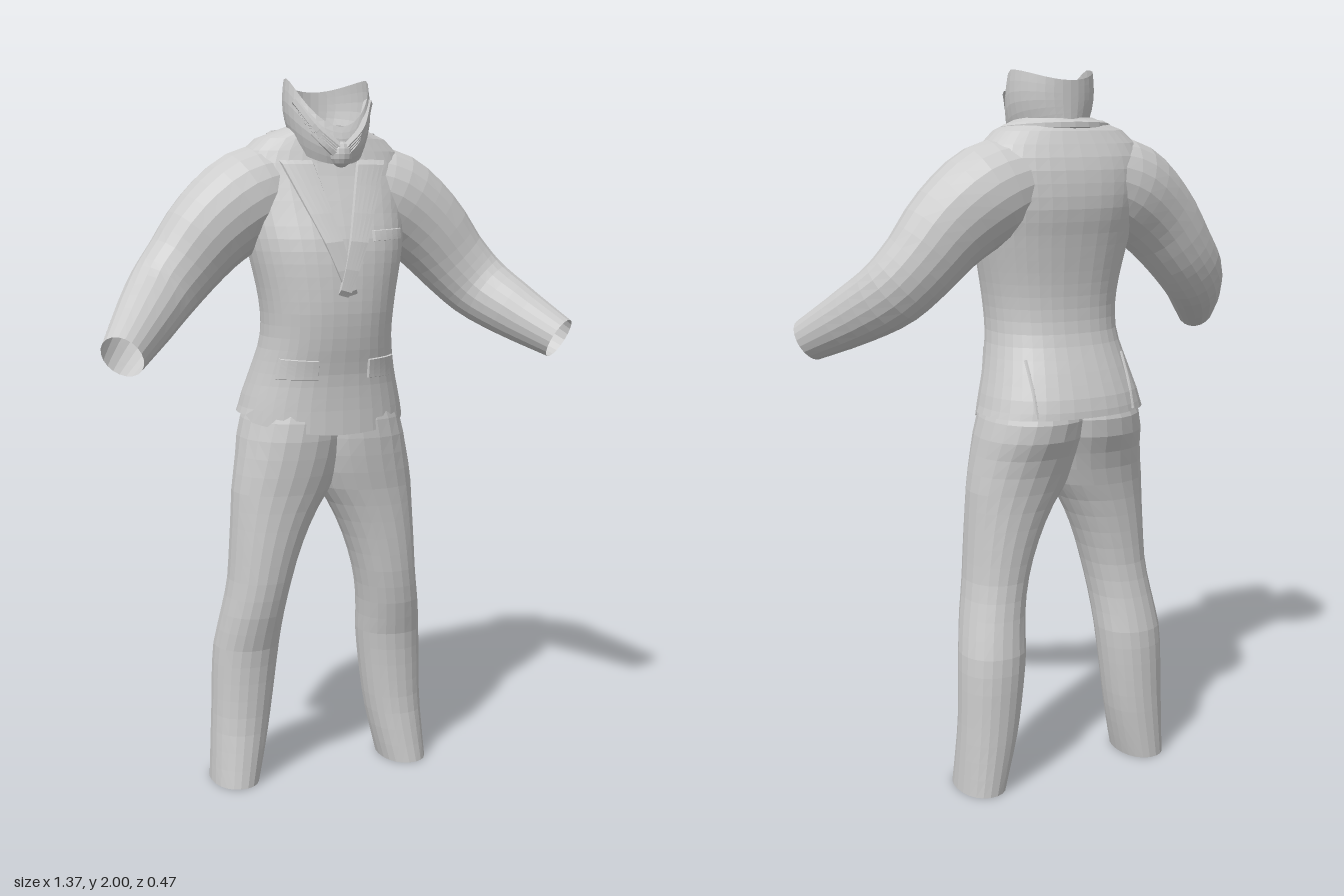
import * as THREE from 'three';

const material = new THREE.MeshStandardMaterial({ color: 0xcccccc, flatShading: true, side: THREE.DoubleSide });

// Section rows: [y, right edge x, left edge x, front z, back z]
const JACKET = [
  [1.07, -0.24, 0.24, 0.125, -0.235], [1.12, -0.23, 0.23, 0.125, -0.23], [1.2, -0.207, 0.207, 0.13, -0.2],
  [1.3, -0.185, 0.185, 0.15, -0.162], [1.4, -0.19, 0.19, 0.16, -0.155], [1.55, -0.22, 0.22, 0.15, -0.175],
  [1.65, -0.235, 0.235, 0.115, -0.193], [1.75, -0.245, 0.245, 0.075, -0.185], [1.8, -0.23, 0.23, 0.06, -0.165],
  [1.84, -0.19, 0.19, 0.05, -0.145], [1.865, -0.15, 0.15, 0.05, -0.13], [1.875, -0.1, 0.1, 0.05, -0.115],
];
const LEG = [
  [0, 0.2, 0.335, 0.037, -0.16], [0.1, 0.175, 0.33, 0.025, -0.163], [0.2, 0.155, 0.325, 0.017, -0.165],
  [0.4, 0.13, 0.318, 0.027, -0.165], [0.5, 0.123, 0.302, 0.053, -0.148], [0.6, 0.105, 0.285, 0.07, -0.136],
  [0.7, 0.075, 0.278, 0.078, -0.138], [0.8, 0.03, 0.272, 0.085, -0.145], [0.87, -0.015, 0.268, 0.092, -0.155],
  [0.95, -0.045, 0.255, 0.105, -0.175], [1.05, -0.06, 0.236, 0.115, -0.215], [1.12, -0.06, 0.21, 0.105, -0.2],
];

// Smooth (Hermite) interpolation of the section rows at height y
function sample(rows, y) {
  let i = 0;
  while (i < rows.length - 2 && y > rows[i + 1][0]) i++;
  const slope = (k, c) => {
    const a = rows[Math.max(0, k - 1)], b = rows[Math.min(rows.length - 1, k + 1)];
    return (b[c] - a[c]) / (b[0] - a[0]);
  };
  const p = rows[i], q = rows[i + 1], h = q[0] - p[0];
  const t = THREE.MathUtils.clamp((y - p[0]) / h, 0, 1), t2 = t * t, t3 = t2 * t;
  return p.map((v, c) => c === 0 ? y :
    (2 * t3 - 3 * t2 + 1) * v + (t3 - 2 * t2 + t) * h * slope(i, c) +
    (3 * t2 - 2 * t3) * q[c] + (t3 - t2) * h * slope(i + 1, c));
}

// Superellipse ring from one section row
function sectionRing(row, sides, n) {
  const [y, x0, x1, zf, zb] = row, ring = [];
  const bend = (v) => Math.sign(v) * Math.abs(v) ** (2 / n);
  for (let j = 0; j < sides; j++) {
    const a = (j / sides) * Math.PI * 2;
    ring.push(new THREE.Vector3((x0 + x1) / 2 + (x1 - x0) / 2 * bend(Math.cos(a)), y,
      (zf + zb) / 2 + (zf - zb) / 2 * bend(Math.sin(a))));
  }
  return ring;
}

// Skin over a list of point rows; closed joins each row end to its start
function loft(name, rings, closed = true) {
  const n = rings[0].length, index = [];
  for (let i = 0; i < rings.length - 1; i++) {
    for (let j = 0; j < (closed ? n : n - 1); j++) {
      const a = i * n + j, b = i * n + (j + 1) % n;
      index.push(a, a + n, b, b, a + n, b + n);
    }
  }
  const geometry = new THREE.BufferGeometry().setFromPoints(rings.flat());
  geometry.setIndex(index);
  geometry.computeVertexNormals();
  const mesh = new THREE.Mesh(geometry, material);
  mesh.name = name;
  return mesh;
}

const JACKET_POWER = 2.3;
// Depth of the jacket surface at (x, y), on the front (+1) or back (-1)
function jacketZ(x, y, side = 1) {
  const [, , w, zf, zb] = sample(JACKET, y);
  const u = Math.min(1, Math.abs(x) / w);
  return (zf + zb) / 2 + side * (zf - zb) / 2 * (1 - u ** JACKET_POWER) ** (1 / JACKET_POWER);
}

// Raised cloth panel on the jacket; corners are [x, y] bottom pair, then top pair
function panel(name, [p, q, r, s], lift) {
  const steps = [0, 0.05, 0.2, 0.4, 0.6, 0.8, 0.95, 1], mix = THREE.MathUtils.lerp;
  return loft(name, steps.map((v) => steps.map((u) => {
    const x = mix(mix(p[0], q[0], u), mix(r[0], s[0], u), v);
    const y = mix(mix(p[1], q[1], u), mix(r[1], s[1], u), v);
    const edge = u === 0 || u === 1 || v === 0 || v === 1;
    return new THREE.Vector3(x, y, jacketZ(x, y) + (edge ? -0.004 : lift));
  })).map((row) => row.reverse()), false);
}

function tube(name, points, radius) {
  const curve = new THREE.CatmullRomCurve3(points.map((p) => new THREE.Vector3(...p)));
  const mesh = new THREE.Mesh(new THREE.TubeGeometry(curve, 10, radius, 6), material);
  mesh.name = name;
  return mesh;
}

function createJacketBody() {
  const rings = [];
  for (let i = 0; i <= 24; i++) {
    rings.push(sectionRing(sample(JACKET, 1.07 + 0.805 * i / 24), 36, JACKET_POWER));
  }
  // hem dips at the centre front and lifts slightly at the back
  rings[0].forEach((p) => { p.y += p.z > 0 ? -0.035 * (1 - (p.x / 0.24) ** 2) : 0.015; });
  return loft('jacketBody', rings);
}

function createSleeve() {
  // [x, y, z, height radius, depth radius]
  const rows = [
    [0.1, 1.72, -0.06, 0.115, 0.11], [0.21, 1.68, -0.052, 0.135, 0.122], [0.32, 1.6, -0.042, 0.124, 0.106],
    [0.41, 1.5, -0.032, 0.107, 0.092], [0.475, 1.43, -0.005, 0.098, 0.085], [0.545, 1.365, 0.075, 0.084, 0.076],
    [0.635, 1.287, 0.198, 0.061, 0.055],
  ];
  const path = new THREE.CatmullRomCurve3(rows.map((r) => new THREE.Vector3(r[0], r[1], r[2])));
  const radii = new THREE.CatmullRomCurve3(rows.map((r) => new THREE.Vector3(r[3], r[4], 0)));
  const rings = [];
  for (let i = 0; i <= 18; i++) {
    const c = path.getPoint(i / 18), d = path.getTangent(i / 18), r = radii.getPoint(i / 18);
    const up = new THREE.Vector3(0, 0, 1).cross(d).normalize();
    const side = up.clone().cross(d);
    rings.push(Array.from({ length: 20 }, (_, j) => {
      const a = (j / 20) * Math.PI * 2;
      return c.clone().addScaledVector(up, r.x * Math.cos(a)).addScaledVector(side, r.y * Math.sin(a));
    }));
  }
  return loft('sleeve', rings);
}

function createTrouserLeg() {
  const rings = [];
  for (let i = 0; i <= 22; i++) rings.push(sectionRing(sample(LEG, 0.005 + 1.115 * i / 22), 22, 2.15));
  return loft('trouserLeg', rings);
}

// Tall open shirt collar, its rim high at the sides and low in front
function createCollar() {
  const rings = [];
  for (let i = 0; i <= 6; i++) {
    const t = i / 6, swell = Math.sin(Math.PI * t) * 0.014;
    rings.push(Array.from({ length: 32 }, (_, j) => {
      const a = (j / 32) * Math.PI * 2, f = Math.sin(a);
      const bottom = 1.82 - 0.05 * f;
      const top = f < 0 ? 2 - 0.028 * f * f : 2 - 0.13 * f ** 1.6;
      return new THREE.Vector3(Math.cos(a) * (0.095 + 0.022 * t + swell), bottom + (top - bottom) * t,
        f * (f > 0 ? 0.105 + swell : 0.118));
    }));
  }
  return loft('shirtCollar', rings);
}

export function createModel() {
  const model = new THREE.Group();
  model.name = 'suit';
  model.add(createJacketBody(), createCollar());

  // Mirrored parts
  for (const s of [1, -1]) {
    const side = s > 0 ? 'left' : 'right';
    const half = new THREE.Group();
    half.name = `${side}Side`;
    half.scale.x = s;
    half.add(createSleeve(), createTrouserLeg());
    half.add(panel('lapel', [[-0.03, 1.42], [0.0, 1.41], [0.065, 1.79], [0.16, 1.79]], s > 0 ? 0.009 : 0.005));
    half.add(panel('hipPocketFlap', [[0.07, 1.19], [0.18, 1.19], [0.07, 1.245], [0.17, 1.25]], 0.008));
    // back vent seam
    half.add(tube('backVent', [1.09, 1.15, 1.2, 1.24].map((y) => [0.15, y, jacketZ(0.15, y, -1)]), 0.005));
    // pleats of the neck cloth fanning out from the knot
    for (let i = 0; i < 4; i++) {
      half.add(tube('neckClothPleat', [
        [0.008, 1.79 + 0.008 * i, 0.115],
        [0.04 + 0.007 * i, 1.82 + 0.014 * i, 0.108 - 0.004 * i],
        [0.07 + 0.012 * i, 1.855 + 0.028 * i, 0.085 - 0.014 * i],
      ], 0.013));
    }
    model.add(half);
  }

  model.add(panel('chestPocket', [[0.08, 1.565], [0.19, 1.57], [0.08, 1.595], [0.19, 1.6]], 0.01));

  const knot = new THREE.Mesh(new THREE.SphereGeometry(1, 12, 8), material);
  knot.name = 'neckClothKnot';
  knot.scale.set(0.032, 0.036, 0.025);
  knot.position.set(0, 1.798, 0.108);
  model.add(knot);

  // jacket collar band around the back of the neck
  const band = [];
  for (let i = 0; i <= 10; i++) {
    const a = Math.PI * (1 + i / 10);
    band.push([Math.cos(a) * 0.15, 1.845 + 0.012 * -Math.sin(a), -0.025 + Math.sin(a) * 0.105]);
  }
  model.add(tube('jacketCollar', band, 0.014));
  return model;
}
